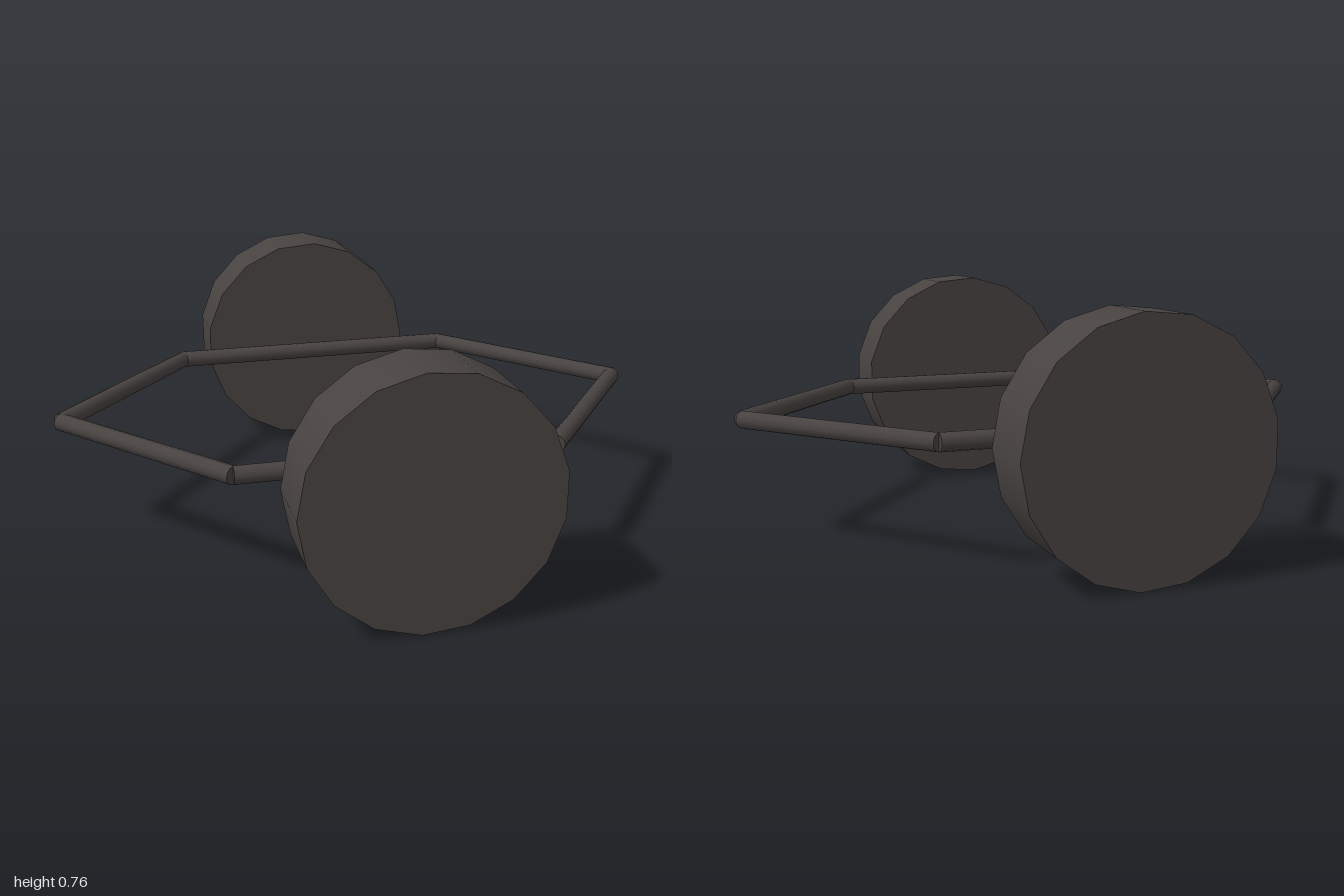
import * as THREE from 'three';

export function createModel() {
  const model = new THREE.Group();
  const charcoal = new THREE.MeshStandardMaterial({ color: 0x484341 });
  charcoal.name = 'charcoal';

  const AXLE_Y = 0.38;
  const WHEEL_TURN = THREE.MathUtils.degToRad(19.7);

  // Frame corners on the ground plane (x, z); the other half is point-mirrored
  const half = [[0.265, -0.705], [0.892, -0.328], [0.658, 0.367]];
  const corners = [...half, ...half.map(([x, z]) => [-x, -z])]
    .map(([x, z]) => new THREE.Vector3(x, AXLE_Y, z));

  // Straight tube between two points
  function bar(a, b) {
    const geometry = new THREE.CylinderGeometry(0.028, 0.028, a.distanceTo(b), 12);
    const mesh = new THREE.Mesh(geometry, charcoal);
    mesh.position.addVectors(a, b).multiplyScalar(0.5);
    mesh.quaternion.setFromUnitVectors(
      new THREE.Vector3(0, 1, 0), b.clone().sub(a).normalize());
    return mesh;
  }

  // Hexagonal frame
  const frame = new THREE.Group();
  frame.name = 'hexFrame';
  corners.forEach((corner, i) => {
    const mesh = bar(corner, corners[(i + 1) % corners.length]);
    mesh.name = `frameBar${i + 1}`;
    frame.add(mesh);
  });
  model.add(frame);

  // Thick discs outside the two long frame sides, half a turn apart
  const disc = new THREE.CylinderGeometry(0.38, 0.38, 0.222, 17, 1, false, -Math.PI / 2);
  disc.rotateX(Math.PI / 2);
  for (const [name, side] of [['frontWheel', 1], ['backWheel', -1]]) {
    const wheel = new THREE.Mesh(disc, charcoal);
    wheel.name = name;
    wheel.position.set(0.278 * side, AXLE_Y, 0.767 * side);
    wheel.rotation.y = WHEEL_TURN + (side < 0 ? Math.PI : 0);
    model.add(wheel);
  }

  return model;
}
